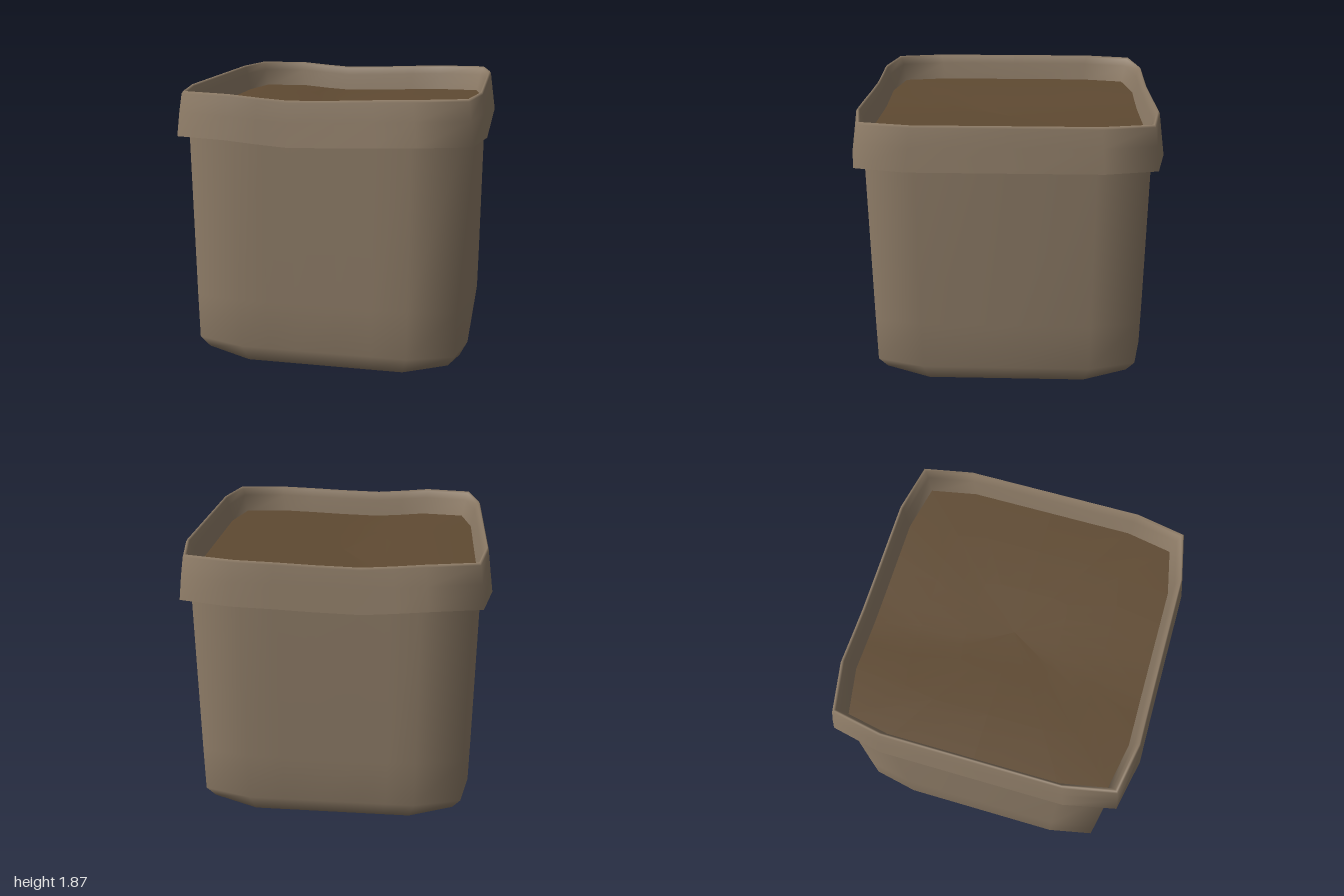
import * as THREE from 'three';

const potColor = new THREE.MeshStandardMaterial({ color: 0x8e7c67, side: THREE.DoubleSide });
potColor.name = 'clay brown';
const soilColor = new THREE.MeshStandardMaterial({ color: 0x5f4a32 });
soilColor.name = 'soil brown';

// Gentle sag of the rim along x: [x, drop]
const SAG = [[-0.6, 0], [-0.4, 0.018], [-0.2, 0.033], [0.1, 0.025], [0.35, 0.014], [0.6, 0.006], [0.93, 0]];
function sag(x) {
  if (x <= SAG[0][0]) return 0;
  for (let i = 1; i < SAG.length; i++) {
    const [x0, d0] = SAG[i - 1], [x1, d1] = SAG[i];
    if (x <= x1) return d0 + (d1 - d0) * (x - x0) / (x1 - x0);
  }
  return 0;
}

// Soft-cornered square outline of half width 1; corner vertices are flagged
function outline(corner) {
  const xs = [-0.6, -0.4, -0.2, 0.1, 0.35, 0.6];
  return [
    [1, -0.6], [1, 0], [1, 0.6], [corner, corner, true],
    ...xs.slice().reverse().map((x) => [x, 1]), [-corner, corner, true],
    [-1, 0.6], [-1, 0], [-1, -0.6], [-corner, -corner, true],
    ...xs.map((x) => [x, -1]), [corner, -corner, true],
  ];
}

// Skin a list of square rings; a ring of size 0 closes the surface at a point
function loft(rings, sagging) {
  const pos = [], index = [];
  const n = outline(1).length;
  rings.forEach(({ s, y, corner = 0.935, lift = 0 }) => {
    for (const [x, z, isCorner] of outline(corner)) {
      const drop = sagging ? sag(x * s) : 0;
      pos.push(x * s, y + (isCorner ? lift : 0) - drop, z * s);
    }
  });
  for (let r = 0; r < rings.length - 1; r++) {
    for (let i = 0; i < n; i++) {
      const a = r * n + i, b = r * n + (i + 1) % n, c = a + n, d = b + n;
      if (rings[r].s > 0) index.push(a, c, b);
      if (rings[r + 1].s > 0) index.push(b, c, d);
      if (rings[r].s === 0) index.splice(index.length - 3, 3, a, c, d);
      if (rings[r + 1].s === 0) index.splice(index.length - 3, 3, a, c, b);
    }
  }
  const g = new THREE.BufferGeometry();
  g.setAttribute('position', new THREE.Float32BufferAttribute(pos, 3));
  g.setIndex(index);
  g.computeVertexNormals();
  return g;
}

export function createModel() {
  const group = new THREE.Group();
  const add = (name, geometry, material) => {
    const mesh = new THREE.Mesh(geometry, material);
    mesh.name = name;
    group.add(mesh);
  };

  // Pot wall with a rounded base
  add('potBody', loft([
    { s: 0, y: 0 },
    { s: 0.565, y: 0.002, corner: 0.97, lift: 0.008 },
    { s: 0.87, y: 0.06, lift: 0.05 },
    { s: 0.922, y: 0.175, lift: 0.02 },
    { s: 0.925, y: 0.5 },
    { s: 0.93, y: 1.6 },
    { s: 0.922, y: 1.75 },
  ], false), potColor);

  // Flared collar, folded over the top and down to the soil
  add('rim', loft([
    { s: 1, y: 1.587, corner: 0.93 },
    { s: 0.978, y: 1.74 },
    { s: 0.962, y: 1.855 },
    { s: 0.953, y: 1.87 },
    { s: 0.942, y: 1.858 },
    { s: 0.925, y: 1.81 },
    { s: 0.9, y: 1.67 },
  ], true), potColor);

  // Soil surface
  add('soil', loft([
    { s: 0.902, y: 1.69 },
    { s: 0.6, y: 1.69 },
    { s: 0.3, y: 1.685 },
    { s: 0, y: 1.68 },
  ], true), soilColor);

  return group;
}
